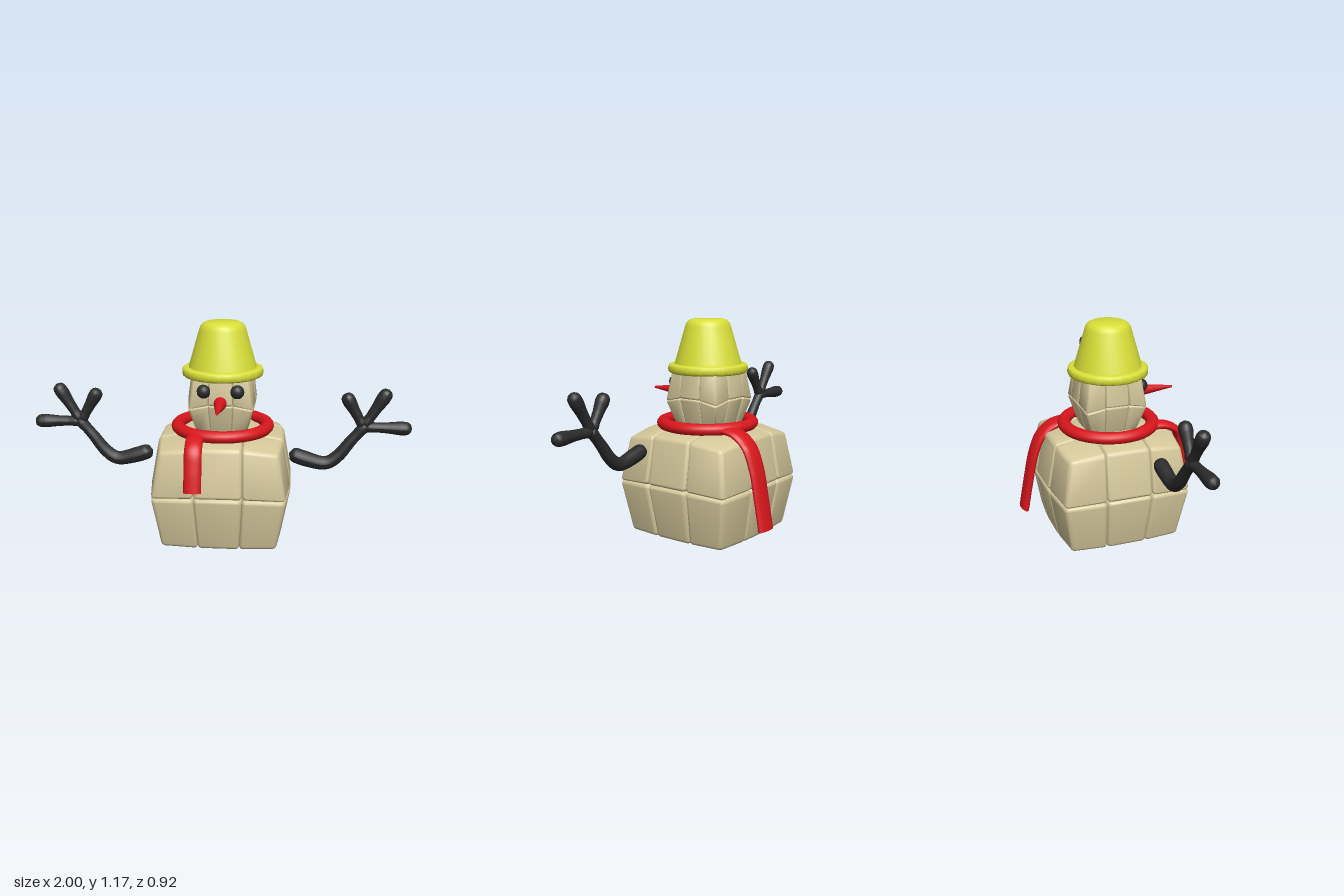
import * as THREE from 'three';
import { toCreasedNormals } from 'three/addons/utils/BufferGeometryUtils.js';
import { RoundedBoxGeometry } from 'three/addons/geometries/RoundedBoxGeometry.js';

const paint = (color) => new THREE.MeshStandardMaterial({ color });
const V = (x, y, z) => new THREE.Vector3(x, y, z);

function part(name, geometry, material) {
  const mesh = new THREE.Mesh(geometry, material);
  mesh.name = name;
  return mesh;
}

// Rounded box warped so its eight corners land on corner(i, j, k), i/j/k being 0 or 1
function warpedBlock(corner, bevel) {
  const c = (i, j, k) => corner(i, j, k);
  const size = V(0, 0, 0);
  for (const a of [0, 1]) for (const b of [0, 1]) {
    size.x += c(0, a, b).distanceTo(c(1, a, b)) / 4;
    size.y += c(a, 0, b).distanceTo(c(a, 1, b)) / 4;
    size.z += c(a, b, 0).distanceTo(c(a, b, 1)) / 4;
  }
  const geo = new RoundedBoxGeometry(size.x, size.y, size.z, 3, bevel);
  const pos = geo.attributes.position;
  const p = V(0, 0, 0), out = V(0, 0, 0);
  for (let n = 0; n < pos.count; n++) {
    p.fromBufferAttribute(pos, n).divide(size).addScalar(0.5);
    out.set(0, 0, 0);
    for (const i of [0, 1]) for (const j of [0, 1]) for (const k of [0, 1]) {
      const w = (i ? p.x : 1 - p.x) * (j ? p.y : 1 - p.y) * (k ? p.z : 1 - p.z);
      out.addScaledVector(c(i, j, k), w);
    }
    pos.setXYZ(n, out.x, out.y, out.z);
  }
  return toCreasedNormals(geo, 0.7);
}

// Bulging stack of 3 x 2 x 3 blocks.
// Each level: half width, seam offset, corner inset, then y at centre, edge and corner
function blockStack(name, levels, cz, bevel, material) {
  const group = new THREE.Group();
  group.name = name;
  const lattice = (i, j, k) => {
    const L = levels[j];
    const ex = i % 3 === 0, ez = k % 3 === 0;
    const half = ex && ez ? L.half - L.inset : L.half;
    const sx = i < 2 ? -1 : 1, sz = k < 2 ? -1 : 1;
    return V(sx * (ex ? half : L.seam), L.y[(ex ? 1 : 0) + (ez ? 1 : 0)], cz + sz * (ez ? half : L.seam));
  };
  for (let i = 0; i < 3; i++) for (let j = 0; j < 2; j++) for (let k = 0; k < 3; k++) {
    const geo = warpedBlock((a, b, c) => lattice(i + a, j + b, k + c), bevel);
    group.add(part(name + 'Block', geo, material));
  }
  return group;
}

// Round-ended limb whose thickness follows the list of radii
function limb(points, radii) {
  const curve = new THREE.CatmullRomCurve3(points, false, 'centripetal');
  const steps = 32, sides = 14, length = curve.getLength();
  const geo = new THREE.TubeGeometry(curve, steps, 1, sides);
  const pos = geo.attributes.position, v = V(0, 0, 0);
  for (let s = 0; s <= steps; s++) {
    const t = s / steps;
    const centre = curve.getPointAt(t);
    const f = t * (radii.length - 1), a = Math.min(Math.floor(f), radii.length - 2);
    let r = THREE.MathUtils.lerp(radii[a], radii[a + 1], f - a);
    const fromEnd = Math.min(t, 1 - t) * length;
    if (fromEnd < r) r *= Math.sqrt(Math.max(0, 1 - (1 - fromEnd / r) ** 2));
    for (let q = 0; q <= sides; q++) {
      const n = s * (sides + 1) + q;
      v.fromBufferAttribute(pos, n).sub(centre).multiplyScalar(r).add(centre);
      pos.setXYZ(n, v.x, v.y, v.z);
    }
  }
  geo.computeVertexNormals();
  return geo;
}

// Flattened scarf end swept along a [z, y] path
function scarfTail(name, x, width, path, material) {
  const thickness = 0.045;
  const circle = new THREE.Shape().absarc(0, 0, thickness / 2, 0, Math.PI * 2);
  const extrudePath = new THREE.CatmullRomCurve3(path.map(([z, y]) => V(0, y, z)));
  const geo = new THREE.ExtrudeGeometry(circle, { steps: 24, curveSegments: 10, extrudePath });
  geo.scale(width / thickness, 1, 1);
  const mesh = part(name, toCreasedNormals(geo, 0.9), material);
  mesh.position.x = x;
  return mesh;
}

export function createModel() {
  const model = new THREE.Group();
  model.name = 'snowman';
  const sand = paint(0xd6c99c), red = paint(0xd8161c), dark = paint(0x2b2b2b), yellow = paint(0xd9df38);

  // Body and head, each a bulging stack of blocks
  model.add(blockStack('body', [
    { half: 0.325, seam: 0.11, inset: 0.02, y: [0, 0, 0] },
    { half: 0.382, seam: 0.127, inset: 0.03, y: [0.3, 0.3, 0.285] },
    { half: 0.335, seam: 0.122, inset: 0.025, y: [0.6, 0.56, 0.53] },
  ], 0.025, 0.022, sand));
  model.add(blockStack('head', [
    { half: 0.14, seam: 0.055, inset: 0.012, y: [0.59, 0.59, 0.59] },
    { half: 0.184, seam: 0.065, inset: 0.014, y: [0.75, 0.75, 0.725] },
    { half: 0.165, seam: 0.06, inset: 0.022, y: [0.91, 0.91, 0.905] },
  ], 0.022, 0.011, sand));

  // Bucket hat with a rolled brim
  const profile = [
    [0, 0.88], [0.205, 0.88], [0.216, 0.887], [0.22, 0.905], [0.216, 0.923], [0.205, 0.93],
    [0.184, 0.93], [0.126, 1.13], [0.119, 1.148], [0.107, 1.162], [0.09, 1.17], [0, 1.17],
  ].map(([r, y]) => new THREE.Vector2(r, y));
  const hat = part('hat', toCreasedNormals(new THREE.LatheGeometry(profile, 24), 0.8), yellow);
  hat.position.z = 0.03;
  model.add(hat);

  // Eyes and nose
  for (const side of [-1, 1]) {
    const eye = part('eye', new THREE.SphereGeometry(0.037, 20, 14), dark);
    eye.position.set(side * 0.088, 0.825, 0.187);
    model.add(eye);
  }
  const nose = part('nose', new THREE.CylinderGeometry(0.006, 0.036, 0.22, 16).rotateX(Math.PI / 2), red);
  nose.position.set(0, 0.765, 0.303);
  model.add(nose);

  // Scarf ring and its two hanging ends
  const ring = part('scarfRing', new THREE.TorusGeometry(0.245, 0.036, 14, 40).rotateX(Math.PI / 2), red);
  ring.scale.y = 0.9;
  ring.position.set(0, 0.603, 0.033);
  model.add(ring);
  model.add(scarfTail('scarfFrontTail', -0.125, 0.092,
    [[0.24, 0.6], [0.32, 0.593], [0.385, 0.555], [0.413, 0.47], [0.437, 0.35]], red));
  model.add(scarfTail('scarfBackTail', 0.117, 0.125,
    [[-0.17, 0.6], [-0.25, 0.585], [-0.325, 0.525], [-0.37, 0.42], [-0.4, 0.28], [-0.434, 0.095]], red));

  // Stick arms, mirrored, each with three fingers
  for (const side of [1, -1]) {
    const arm = new THREE.Group();
    arm.name = side > 0 ? 'leftArm' : 'rightArm';
    const at = (x, y) => V(side * x, y, 0);
    arm.add(part('forearm', limb(
      [at(0.365, 0.498), at(0.45, 0.468), at(0.56, 0.447), at(0.62, 0.485), at(0.69, 0.575), at(0.77, 0.67)],
      [0.04, 0.041, 0.037, 0.034, 0.031, 0.028, 0.033]), dark));
    for (const [x, y] of [[0.647, 0.828], [0.873, 0.852], [1, 0.645]]) {
      const mid = at((x + 0.75) / 2, (y + 0.65) / 2);
      arm.add(part('finger', limb([at(0.75, 0.65), mid, at(x, y)], [0.032, 0.026, 0.029, 0.036, 0.034]), dark));
    }
    arm.position.z = 0.182;
    model.add(arm);
  }
  return model;
}
